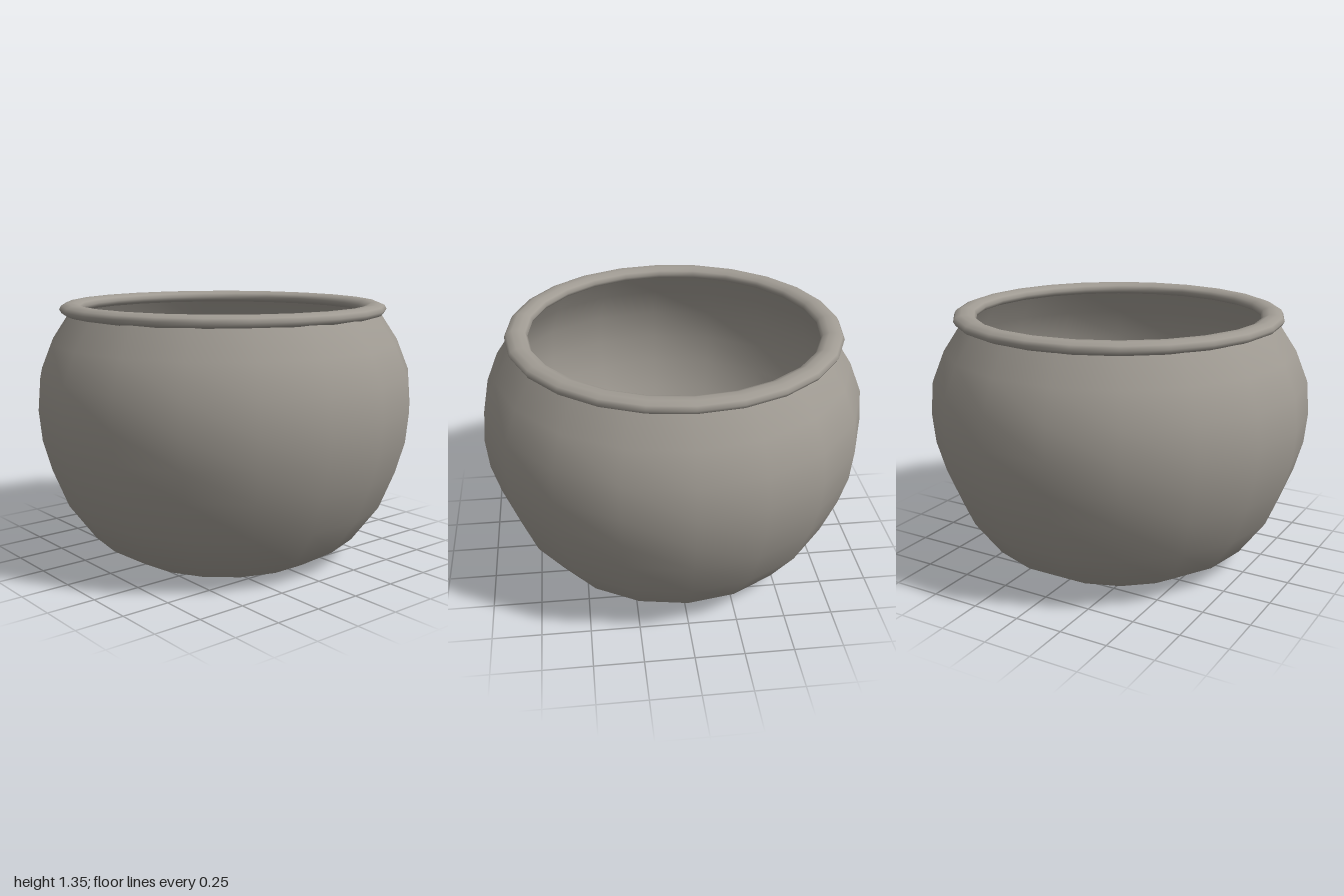
import * as THREE from 'three';

const SIDES = 18;

export function createModel() {
  const bowl = new THREE.Group();
  bowl.name = 'bowl';
  const clay = new THREE.MeshStandardMaterial({ color: 0xa09b93 });
  clay.name = 'grey clay';

  const add = (name, geometry) => {
    const mesh = new THREE.Mesh(geometry, clay);
    mesh.name = name;
    bowl.add(mesh);
    return mesh;
  };
  const lathe = (points) =>
    new THREE.LatheGeometry(points.map(([r, y]) => new THREE.Vector2(r, y)), SIDES, Math.PI / 2);

  // Round belly, listed from the foot up to the neck
  const outer = [
    [0.535, 0], [0.72, 0.11], [0.86, 0.3], [0.94, 0.5], [0.985, 0.66],
    [1, 0.82], [0.985, 0.99], [0.92, 1.15], [0.81, 1.315],
  ];
  add('outerWall', lathe(outer));

  // Inner wall, slightly smaller and facing inwards
  const inner = outer.map(([r, y], i) => [r - 0.022, i === 0 ? 0.02 : y + (i < 4 ? 0.01 : 0)]);
  add('innerWall', lathe(inner.reverse()));

  // Flat base below and floor inside
  add('base', new THREE.CircleGeometry(0.535, SIDES).rotateX(Math.PI / 2));
  add('floor', new THREE.CircleGeometry(0.513, SIDES).rotateX(-Math.PI / 2)).position.y = 0.02;

  // Flattened rolled rim, set slightly towards the back
  const rim = new THREE.TorusGeometry(0.802, 0.059, 10, 24).rotateX(-Math.PI / 2).scale(1, 0.56, 1);
  add('rim', rim).position.set(0, 1.316, -0.012);

  return bowl;
}
